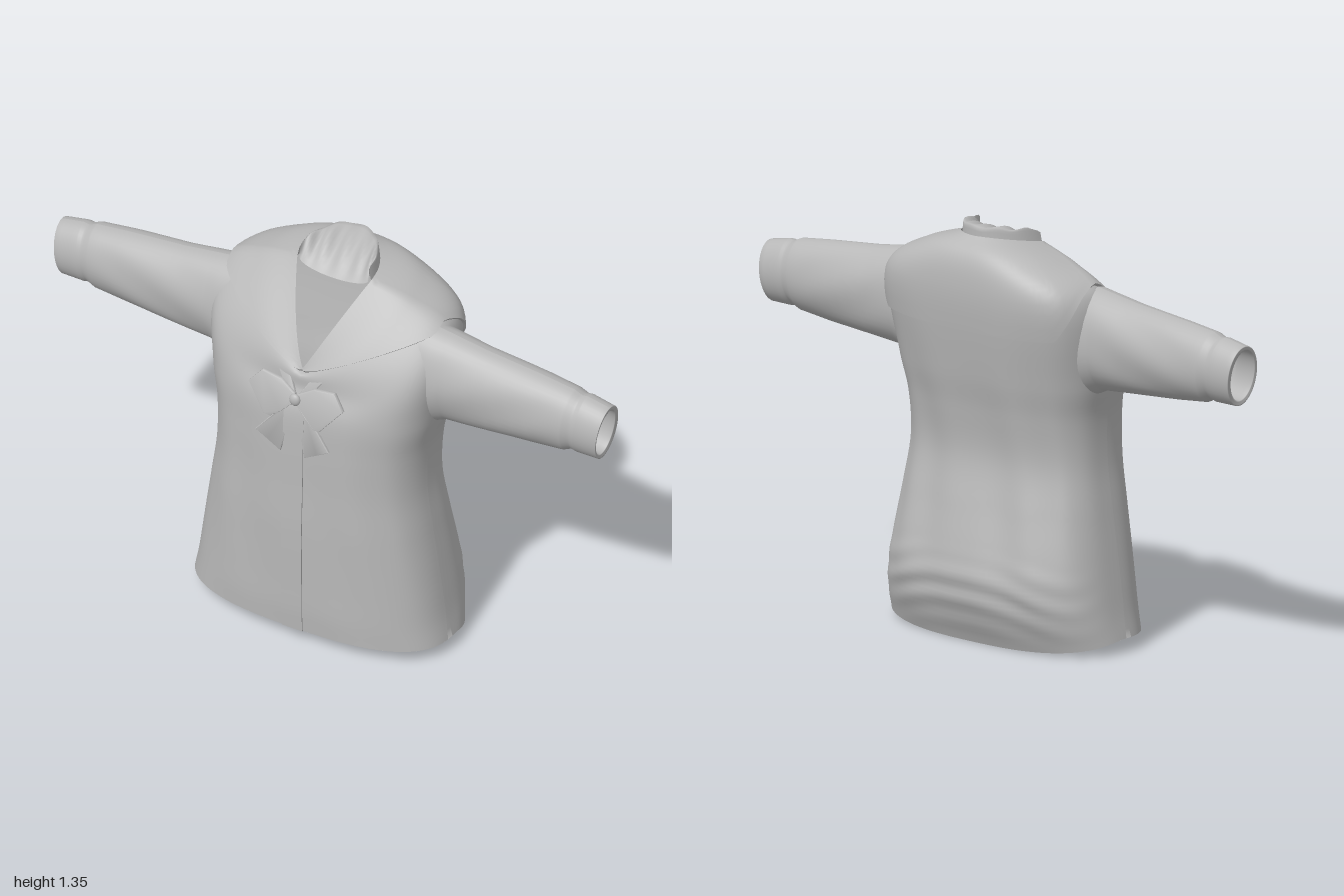
import * as THREE from 'three';
import { toCreasedNormals } from 'three/addons/utils/BufferGeometryUtils.js';

const { sin, cos, abs, sign, PI, max, min, sqrt, round } = Math;
const V = (x, y, z) => new THREE.Vector3(x, y, z);
const lerp = THREE.MathUtils.lerp;
const fabric = new THREE.MeshStandardMaterial({ color: 0xb8b8b8, side: THREE.DoubleSide });
fabric.name = 'grey fabric';

// Grid surface: fn(row 0..1, column 0..1) gives a point; skip(centre) leaves holes
function loft(rows, cols, fn, skip) {
  const pts = [], index = [];
  for (let r = 0; r <= rows; r++)
    for (let c = 0; c <= cols; c++) pts.push(fn(r / rows, c / cols));
  for (let r = 0; r < rows; r++)
    for (let c = 0; c < cols; c++) {
      const a = r * (cols + 1) + c, b = a + 1, d = b + cols + 1, e = d - 1;
      const mid = pts[a].clone().add(pts[d]).multiplyScalar(0.5);
      if (!skip || !skip(mid)) index.push(a, b, d, a, d, e);
    }
  const g = new THREE.BufferGeometry().setFromPoints(pts);
  g.setIndex(index);
  g.computeVertexNormals();
  return g;
}

// Torso rings: height, half width, front z, back z, side z
const RINGS = [
  [0.045, 0.455, 0.256, -0.185, 0.02], [0.12, 0.44, 0.26, -0.235, 0.015],
  [0.22, 0.425, 0.26, -0.25, 0.015], [0.32, 0.41, 0.26, -0.232, 0.015],
  [0.45, 0.39, 0.26, -0.202, 0.015], [0.6, 0.37, 0.256, -0.175, 0.015],
  [0.75, 0.372, 0.253, -0.19, 0.01], [0.88, 0.395, 0.243, -0.215, 0],
];
const power = (v, e) => sign(v) * abs(v) ** e;

function ringPoint([y, w, f, b, zc], a, e = 0.75) {
  const c = power(cos(a), e);
  return V(w * power(sin(a), e), y, zc + (c > 0 ? (f - zc) * c : (zc - b) * c));
}

// V neck in front, round at the back
function neckPoint(a) {
  if (abs(a) < PI / 2) {
    const t = abs(a) / (PI / 2);
    return V(0.135 * t * sign(a), 1 + 0.28 * t, 0.19 * (1 - t ** 1.5));
  }
  return V(0.135 * sin(a), 1.28 - 0.03 * cos(a), 0.17 * cos(a));
}

// Point of the torso at angle a (0 front, positive to the left) and ring number k
function torso(a, k) {
  a = a > PI ? a - 2 * PI : a;
  const c = cos(a), back = max(0, -c);
  const keys = RINGS.map(r => ringPoint(r, a));
  keys[0].y -= 0.045 * back;
  const shoulder = ringPoint([1.165, 0.403, 0.215, -0.245, -0.03], a, 0.75 - 0.12 * min(1, back * 2));
  shoulder.x *= 1 - 0.04 * sqrt(back);
  shoulder.y -= c > 0 ? 0.215 * c : 0.01 * back;
  const neck = neckPoint(a);
  const mid = shoulder.clone().lerp(neck, 0.5);
  mid.y += 0.02 + 0.012 * back;
  mid.z += c > 0 ? 0.008 * c : 0.017 * c;
  keys.push(shoulder, mid, neck);
  const p = new THREE.CatmullRomCurve3(keys).getPoint(min(1, max(0, k / 10)));
  // soft cloth folds, deeper at the back
  const fade = max(0, 1 - abs(k - 4) / 4);
  p.z += fade * (0.003 + 0.004 * back) * sin(a * 11 + k * 0.6) * abs(c);
  p.z -= back * 0.005 * sin(p.y * 75 + 3 * cos(a * 3)) * max(0, 1 - abs(k - 1.5) / 1.5);
  return p;
}

// Same surface pushed outwards
function torsoOffset(a, k, d) {
  const p = torso(a, k), h = 0.02, kk = min(k, 9.95);
  const n = torso(a + h, kk).sub(torso(a - h, kk))
    .cross(torso(a, kk + 0.04).sub(torso(a, kk - 0.04)));
  if (n.lengthSq() > 1e-16) p.addScaledVector(n.normalize(), d);
  return p;
}

// Lower edge of the collar in ring numbers: rising line in front, level cape behind
function collarEdge(a) {
  const c = cos(a);
  if (c < 0) return 8.25 - 0.72 * min(1, -c * 1.6);
  let low = 8, high = 9.95;
  for (let i = 0; i < 12; i++) {
    const k = (low + high) / 2, p = torso(a, k);
    if (p.y < 1 + 0.45 * abs(p.x)) low = k;
    else high = k;
  }
  return max(low, 8.25);
}

// Sleeve rings: x, top, bottom, front z, back z (the last ones turn inside the cuff)
const SLEEVE = [
  [0.33, 1.195, 0.815, 0.1, -0.12], [0.385, 1.185, 0.838, 0.097, -0.118],
  [0.43, 1.178, 0.858, 0.092, -0.115],
  [0.55, 1.16, 0.867, 0.086, -0.108], [0.75, 1.14, 0.882, 0.077, -0.1],
  [0.87, 1.125, 0.894, 0.07, -0.092], [0.9, 1.112, 0.908, 0.063, -0.086],
  [0.92, 1.115, 0.902, 0.063, -0.086], [1.0, 1.1, 0.902, 0.058, -0.08],
  [0.998, 1.086, 0.918, 0.048, -0.062], [0.92, 1.088, 0.92, 0.048, -0.065],
];

function sleeve(side) {
  return loft((SLEEVE.length - 1) * 4, 40, (r, c) => {
    const q = r * (SLEEVE.length - 1), i = min(SLEEVE.length - 2, Math.floor(q + 1e-6));
    const [x, top, bottom, f, b] = SLEEVE[i].map((v, j) => lerp(v, SLEEVE[i + 1][j], q - i));
    const a = c * 2 * PI * side;
    const slant = 0.0125 * (1 - cos(a)) * (x - 0.33) / 0.67;
    const fold = x < 0.88 ? 0.003 * sin(a * 5 + x * 14) * sin((x - 0.33) / 0.55 * PI) : 0;
    return V(side * (x - slant), (top + bottom) / 2 + (top - bottom) / 2 * cos(a),
      (f + b) / 2 + ((f - b) / 2 + fold) * sin(a));
  });
}

// Front depth of the chest by height, for the bow
function chestZ(y) {
  return lerp(0.256, 0.192, max(0, min(1, (y - 0.82) / 0.2)) ** 1.3);
}

// Flat ribbon piece laid on the chest
function ribbon(points, lift, depth) {
  const shape = new THREE.Shape(points.map(([x, y]) => new THREE.Vector2(x, y)));
  const g = new THREE.ExtrudeGeometry(shape, {
    depth, bevelSize: 0.003, bevelThickness: 0.003, bevelSegments: 2,
  });
  const p = g.attributes.position;
  for (let i = 0; i < p.count; i++) p.setZ(i, p.getZ(i) + chestZ(p.getY(i)) + lift);
  return toCreasedNormals(g, 0.6);
}

export function createModel() {
  const model = new THREE.Group();
  model.name = 'blouse';
  const add = (name, geometry, parent = model) => {
    const mesh = new THREE.Mesh(geometry, fabric);
    mesh.name = name;
    parent.add(mesh);
    return mesh;
  };

  // Front and back panels, joined at the sides above the vents, with open armholes
  const armhole = p => abs(p.x) > 0.3 && ((p.y - 1.0) / 0.12) ** 2 + (p.z / 0.085) ** 2 < 1;
  const seam = PI / 2 - 0.07;
  const panel = (a0, a1) => loft(64, 72, (r, c) => {
    const k = r * 10, gap = 0.035 * max(0, 1 - k / 1.4);
    return torso(lerp(a0 + gap, a1 - gap, c), k);
  }, armhole);
  add('frontPanel', panel(-seam, seam));
  add('backPanel', panel(seam, 2 * PI - seam));

  // Facing inside the hem, seen through the vents
  add('hemFacing', loft(8, 120, (r, c) =>
    torsoOffset(lerp(-PI, PI, c), r * 1.45, r === 0 ? 0 : -0.006)));

  // Button placket
  const strip = [[-0.038, 0], [-0.038, 0.004], [0.036, 0.004], [0.036, 0]];
  add('placket', toCreasedNormals(loft(30, 3, (r, c) => {
    const p = torso(0, r * 8), [x, z] = strip[round(c * 3)];
    return V(x, p.y, p.z + z);
  }), 0.6));

  // Wide collar with a turned edge, draped over the shoulders and back
  add('collar', toCreasedNormals(loft(18, 160, (r, c) => {
    const a = lerp(-PI, PI, c);
    const k = lerp(collarEdge(a), 10, max(0, r - 1 / 18) * 18 / 17);
    return torsoOffset(a, k, r === 0 ? 0 : 0.01);
  }), 0.7));

  // Crumpled neck stand folding forward over the back of the neckline
  add('neckStand', loft(16, 40, (r, c) => {
    const a = lerp(PI / 2, PI * 1.5, c), p = neckPoint(a > PI ? a - 2 * PI : a);
    const back = -cos(a), rise = min(1, r / 0.3), t = max(0, r - 0.3) / 0.7;
    const rim = 1.318 + 0.03 * sqrt(max(0, back));
    p.y = lerp(p.y, rim, rise) + rise * 0.003 * sin(a * 9);
    p.x *= 1 - 0.06 * rise;
    p.z = lerp(p.z, 0.015 * back, t);
    p.y = lerp(p.y, 1.28 - 0.025 * back, t * t) + 0.007 * sin(a * 12 + t * 3) * sin(t * PI);
    return p;
  }));

  // Sleeves with cuffs
  add('leftSleeve', sleeve(1));
  add('rightSleeve', sleeve(-1));

  // Bow: loops, tails and ties mirrored about the knot
  const bow = new THREE.Group();
  bow.name = 'bow';
  model.add(bow);
  for (const s of [1, -1]) {
    const m = pts => pts.map(([x, y]) => [x * s, y]);
    add('bowLoop', ribbon(m([[0.008, 0.91], [0.045, 0.875], [0.08, 0.848], [0.1, 0.85],
      [0.168, 0.932], [0.13, 0.976], [0.06, 0.968], [0.008, 0.938]]), 0.004, 0.008), bow);
    add('bowTail', ribbon(m([[0, 0.92], [0.028, 0.9], [0.13, 0.775], [0.09, 0.752],
      [0.045, 0.726]]), 0, 0.004), bow);
    add('tie', ribbon(m([[0.005, 0.93], [0.03, 0.93], [0.085, 1.005], [0.055, 1.015]]), 0, 0.004), bow);
  }
  const knot = add('bowKnot', new THREE.SphereGeometry(0.022, 20, 12), bow);
  knot.scale.set(0.9, 1, 0.6);
  knot.position.set(0, 0.922, 0.243);
  return model;
}
